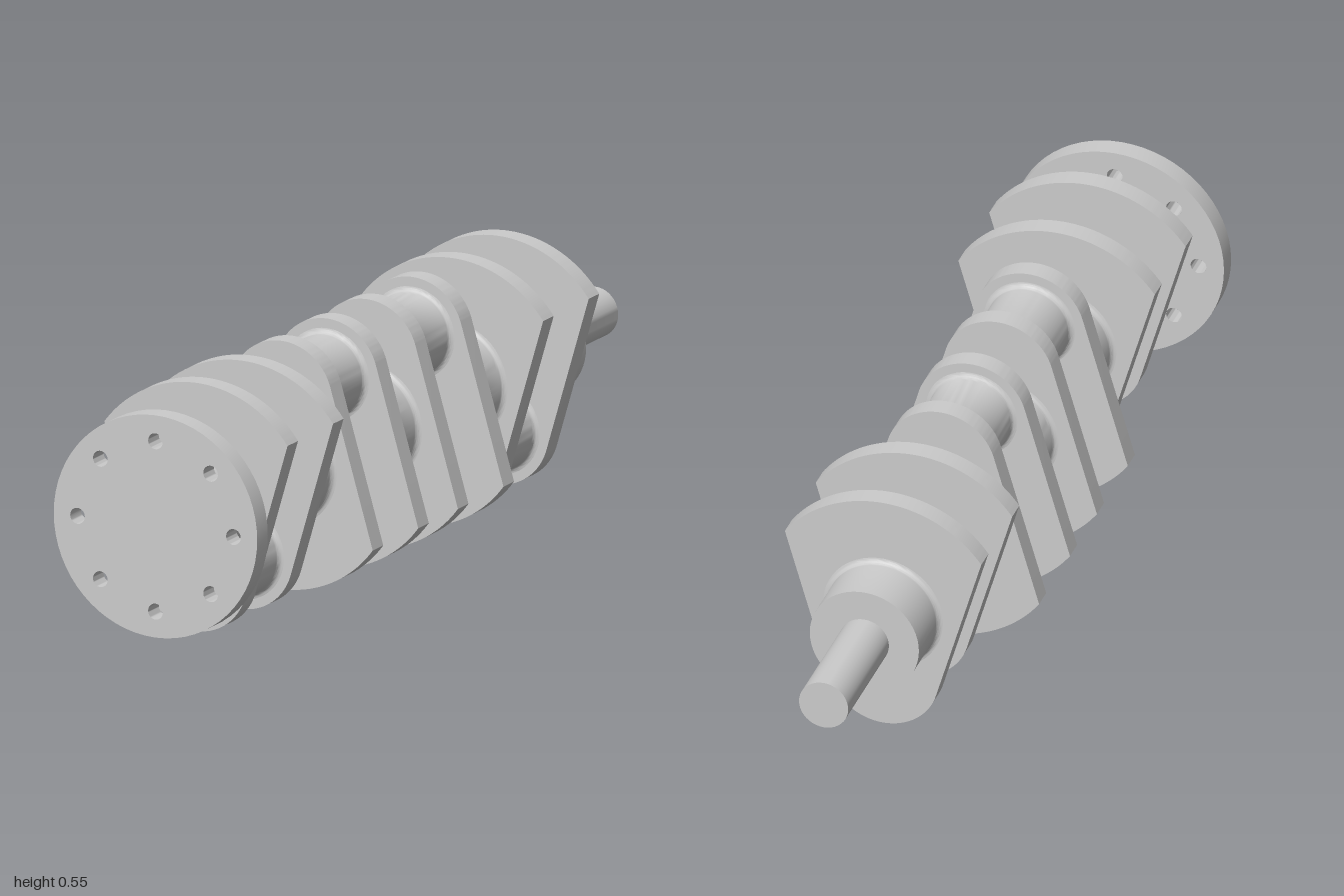
import * as THREE from 'three';
import { toCreasedNormals } from 'three/addons/utils/BufferGeometryUtils.js';

const AXIS_Y = 0.273;       // height of the main axis
const THROW = 0.15;         // crankpin offset from the main axis
const MAIN_R = 0.122, PIN_R = 0.09, SHAFT_R = 0.055, FILLET = 0.012;
const PLATE = 0.048;        // thickness of webs and flange

const material = new THREE.MeshStandardMaterial({ color: 0xcccccc });

function addPart(parent, name, geometry) {
  const mesh = new THREE.Mesh(toCreasedNormals(geometry, 0.5), material);
  mesh.name = name;
  parent.add(mesh);
  return mesh;
}

// Journal along z with a concave fillet at the front, and at the back or a flat cap
function journal(radius, zBack, zFront, capped = false) {
  const pts = [];
  const steps = 5;
  if (capped) {
    pts.push(new THREE.Vector2(0, zBack), new THREE.Vector2(radius, zBack));
  } else {
    for (let i = 0; i <= steps; i++) {
      const a = (i / steps) * Math.PI / 2;
      pts.push(new THREE.Vector2(radius + FILLET * (1 - Math.sin(a)), zBack + FILLET * (1 - Math.cos(a))));
    }
  }
  for (let i = steps; i >= 0; i--) {
    const a = (i / steps) * Math.PI / 2;
    pts.push(new THREE.Vector2(radius + FILLET * (1 - Math.sin(a)), zFront - FILLET * (1 - Math.cos(a))));
  }
  return new THREE.LatheGeometry(pts, 56).rotateX(Math.PI / 2);
}

// Plate extruded along z, its back face at zBack
function plate(shape, zBack) {
  return new THREE.ExtrudeGeometry(shape, { depth: PLATE, bevelEnabled: false, curveSegments: 32 })
    .translate(0, 0, zBack);
}

// Web outline: counterweight sector on top, tapering to a round pin end below
function webShape() {
  const corner = Math.atan2(0.16, 0.219), taper = 0.28;
  const s = new THREE.Shape();
  s.absarc(0, 0, 0.272, corner, Math.PI - corner, false);
  s.absarc(0, -THROW, 0.123, Math.PI + taper, 2 * Math.PI - taper, false);
  s.closePath();
  return s;
}

// Round flange with a ring of eight bolt holes
function flangeShape() {
  const s = new THREE.Shape();
  s.absarc(0, 0, 0.244, 0, Math.PI * 2, false);
  for (let i = 0; i < 8; i++) {
    const a = i * Math.PI / 4;
    const hole = new THREE.Path();
    hole.absarc(0.187 * Math.cos(a), 0.187 * Math.sin(a), 0.0175, 0, Math.PI * 2, true);
    s.holes.push(hole);
  }
  return s;
}

export function createModel() {
  const group = new THREE.Group();
  group.name = 'crankshaft';
  const body = new THREE.Group();
  body.name = 'rotatingBody';
  body.position.y = AXIS_Y;
  group.add(body);

  addPart(body, 'flange', plate(flangeShape(), 1 - PLATE));

  // Four throws from the flange backwards: down, up, up, down
  const web = webShape();
  let zJournalFront = 1 - PLATE;
  [false, true, true, false].forEach((pinUp, i) => {
    const zFrontWeb = 0.768 - i * 0.3875;
    const zBackWeb = zFrontWeb - 0.207;
    addPart(body, `mainJournal${i + 1}`, journal(MAIN_R, zFrontWeb + PLATE, zJournalFront));

    const crank = new THREE.Group();
    crank.name = `throw${i + 1}`;
    if (pinUp) crank.rotation.z = Math.PI;
    addPart(crank, 'frontWeb', plate(web, zFrontWeb));
    addPart(crank, 'backWeb', plate(web, zBackWeb));
    const pin = addPart(crank, 'crankpin', journal(PIN_R, zBackWeb + PLATE, zFrontWeb));
    pin.position.y = -THROW;
    body.add(crank);
    zJournalFront = zBackWeb;
  });

  // Rear main journal and the thin nose shaft
  addPart(body, 'rearJournal', journal(MAIN_R, -0.727, zJournalFront, true));
  const shaft = new THREE.CylinderGeometry(SHAFT_R, SHAFT_R, 0.28, 40).rotateX(Math.PI / 2);
  addPart(body, 'noseShaft', shaft).position.z = -0.86;

  return group;
}
